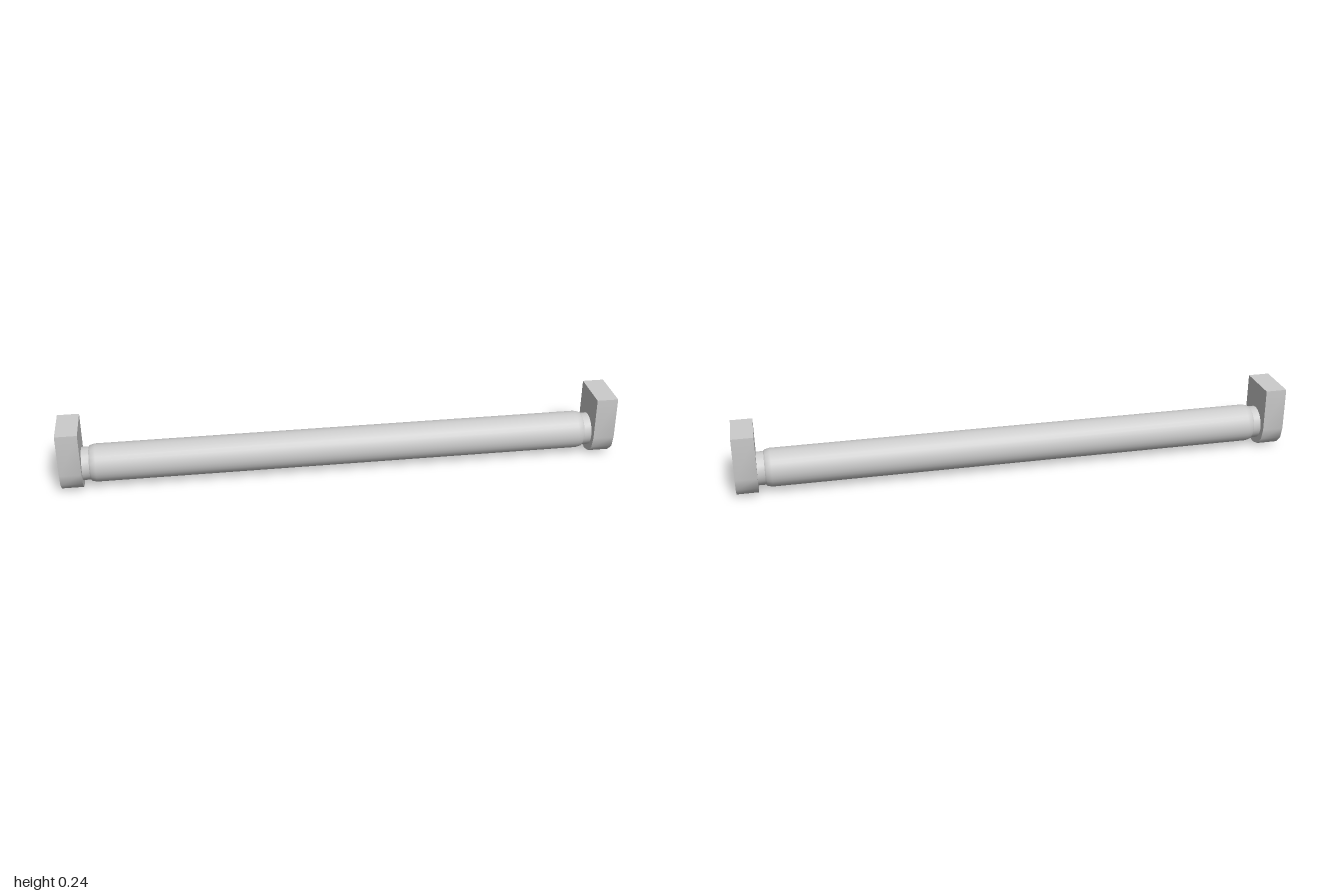
import * as THREE from 'three';
import { toCreasedNormals } from 'three/addons/utils/BufferGeometryUtils.js';

const R = 0.083;      // bracket rounding radius, also the rod's axis height
const TOP = 0.238;    // bracket height
const INNER = 0.923;  // inner face of each bracket

export function createModel() {
  const group = new THREE.Group();
  const material = new THREE.MeshStandardMaterial({ color: 0xcccccc });

  // End brackets: square top, half-round bottom in six facets
  const outline = [new THREE.Vector2(R, TOP), new THREE.Vector2(-R, TOP)];
  for (let i = 0; i <= 6; i++) {
    const a = Math.PI + (i / 6) * Math.PI;
    outline.push(new THREE.Vector2(R * Math.cos(a), R + R * Math.sin(a)));
  }
  const plate = new THREE.ExtrudeGeometry(new THREE.Shape(outline), {
    depth: 1 - INNER, bevelEnabled: false,
  });
  plate.rotateY(Math.PI / 2);
  const bracketGeometry = toCreasedNormals(plate, 0.7);
  for (const [name, x] of [['leftBracket', INNER], ['rightBracket', -1]]) {
    const bracket = new THREE.Mesh(bracketGeometry, material);
    bracket.name = name;
    bracket.position.x = x;
    group.add(bracket);
  }

  // Rod with a narrow neck and a short taper at each end
  const half = [[0.059, INNER], [0.059, 0.897], [0.064, 0.892], [0.068, 0.875]];
  const profile = [
    ...half.map(([r, x]) => new THREE.Vector2(r, -x)),
    ...half.slice().reverse().map(([r, x]) => new THREE.Vector2(r, x)),
  ];
  const rodGeometry = toCreasedNormals(new THREE.LatheGeometry(profile, 32), 0.6);
  rodGeometry.rotateZ(-Math.PI / 2);
  const rod = new THREE.Mesh(rodGeometry, material);
  rod.name = 'rod';
  rod.position.y = R;
  group.add(rod);

  return group;
}
